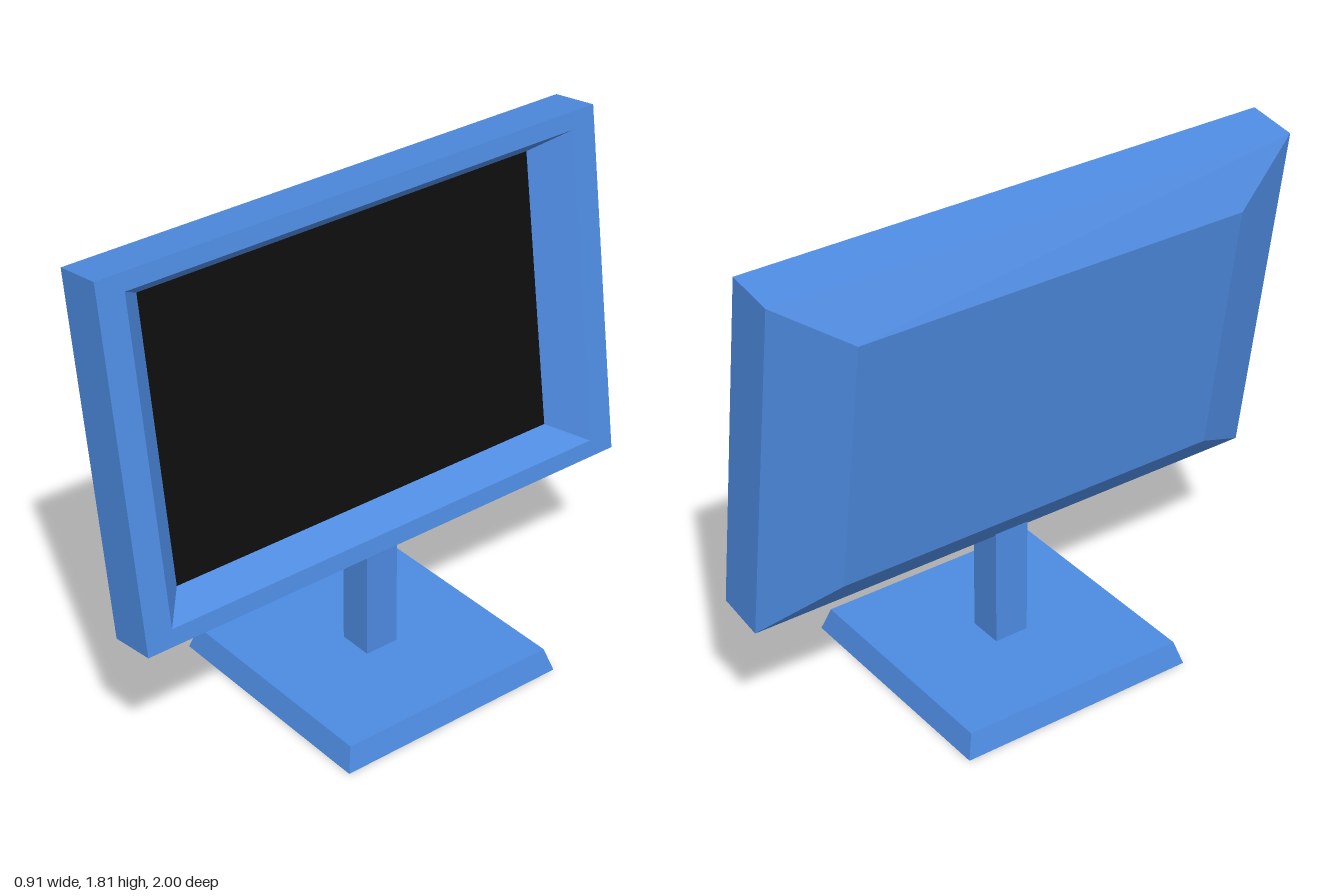
import * as THREE from 'three';

const blue = new THREE.MeshStandardMaterial({ color: 0x4d8ae0, flatShading: true });
const black = new THREE.MeshStandardMaterial({ color: 0x0d0d0d });

// Joins rectangular rings [x, halfY, halfZ] along +x; caps the first and optionally the last.
function loftRectangles(rings, capEnd) {
  const positions = [];
  const corners = rings.map(([x, h, d]) =>
    [[-1, -1], [1, -1], [1, 1], [-1, 1]].map(([sy, sz]) => [x, sy * h, sz * d]));
  const quad = (a, b, c, d) => positions.push(...a, ...b, ...c, ...a, ...c, ...d);
  for (let r = 0; r < corners.length - 1; r++) {
    const p = corners[r], q = corners[r + 1];
    for (let i = 0; i < 4; i++) {
      const j = (i + 1) % 4;
      quad(p[i], p[j], q[j], q[i]);
    }
  }
  const [a, b, c, d] = corners[0];
  quad(d, c, b, a);
  if (capEnd) quad(...corners[corners.length - 1]);
  const geometry = new THREE.BufferGeometry();
  geometry.setAttribute('position', new THREE.Float32BufferAttribute(positions, 3));
  geometry.computeVertexNormals();
  return geometry;
}

function addMesh(parent, name, geometry, material) {
  const mesh = new THREE.Mesh(geometry, material);
  mesh.name = name;
  parent.add(mesh);
  return mesh;
}

export function createModel() {
  const model = new THREE.Group();
  model.name = 'monitor';

  // Bevelled square foot
  const base = loftRectangles([[0, 0.453, 0.453], [0.085, 0.427, 0.427]], true);
  base.rotateZ(Math.PI / 2);
  addMesh(model, 'base', base, blue);

  // Square post, running slightly into the housing
  const post = addMesh(model, 'post', new THREE.BoxGeometry(0.13, 0.475, 0.13), blue);
  post.position.y = 0.085 + 0.475 / 2;

  // Tilted display, facing +x; local origin is the centre of the front face
  const display = new THREE.Group();
  display.name = 'display';
  display.position.set(0.04, 1.1725, 0);
  display.rotation.z = 0.141;
  model.add(display);

  // Housing: tapered back, straight sides, front bezel, sloping recess
  addMesh(display, 'housing', loftRectangles([
    [-0.286, 0.475, 0.74],
    [-0.182, 0.639, 1],
    [0, 0.639, 1],
    [0, 0.576, 0.9],
    [-0.115, 0.508, 0.792],
  ], false), blue);

  // Screen at the bottom of the recess
  const screen = new THREE.PlaneGeometry(1.584, 1.016);
  screen.rotateY(Math.PI / 2);
  addMesh(display, 'screen', screen, black).position.x = -0.115;

  return model;
}
